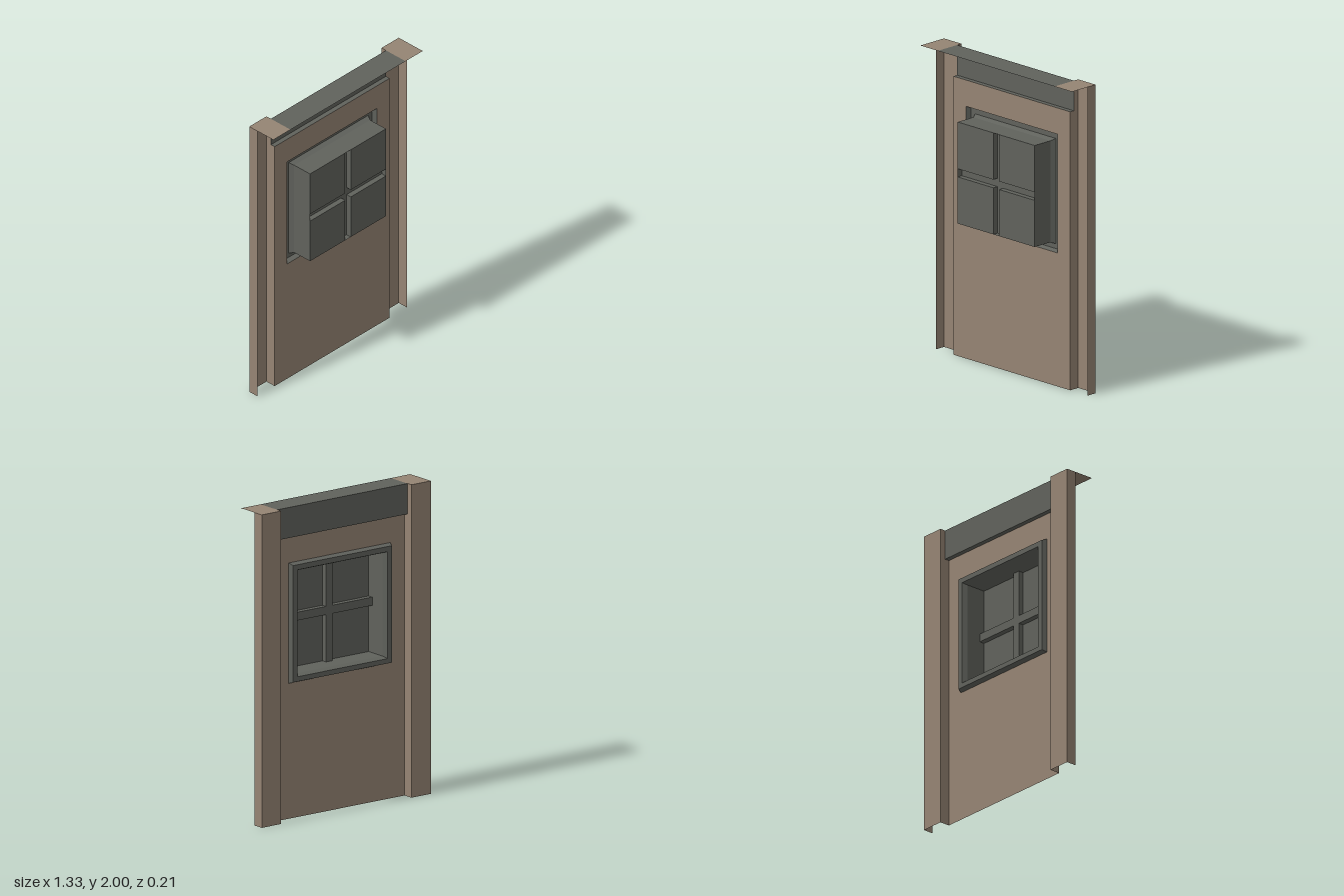
import * as THREE from 'three';

const mat = (name, color) => {
  const m = new THREE.MeshStandardMaterial({ color, side: THREE.DoubleSide });
  m.name = name;
  return m;
};

// Sheet surface made of four-cornered faces
function sheet(name, material, quads) {
  const pos = [];
  for (const [a, b, c, d] of quads) pos.push(...a, ...b, ...c, ...a, ...c, ...d);
  const g = new THREE.BufferGeometry();
  g.setAttribute('position', new THREE.Float32BufferAttribute(pos, 3));
  g.computeVertexNormals();
  const mesh = new THREE.Mesh(g, material);
  mesh.name = name;
  return mesh;
}

// Faces across each axis
const faceZ = (x0, x1, y0, y1, z) => [[x0, y0, z], [x1, y0, z], [x1, y1, z], [x0, y1, z]];
const faceX = (x, y0, y1, z0, z1) => [[x, y0, z1], [x, y0, z0], [x, y1, z0], [x, y1, z1]];
const faceY = (x0, x1, y, z0, z1) => [[x0, y, z1], [x1, y, z1], [x1, y, z0], [x0, y, z0]];

// Strip joining successive rectangles given as [halfWidth, bottom, top, z]
function rectLoft(sections) {
  const rings = sections.map(([w, b, t, z]) => faceZ(-w, w, b, t, z));
  const quads = [];
  for (let i = 0; i + 1 < rings.length; i++) {
    for (let k = 0; k < 4; k++) {
      const n = (k + 1) % 4;
      quads.push([rings[i][k], rings[i][n], rings[i + 1][n], rings[i + 1][k]]);
    }
  }
  return quads;
}

export function createModel() {
  const plaster = mat('brown plaster', 0x958473);
  const trim = mat('grey trim', 0x60625c);
  const model = new THREE.Group();
  model.name = 'windowWall';

  const W = 0.665, IN = 0.512;                      // outer and inner pillar edges
  const BACK = -0.103, WALL = -0.033, BEAM = -0.065, FRONT = 0.103;
  const BEAM_Y = 1.805;

  // Wall panel with window opening
  const shape = new THREE.Shape([
    new THREE.Vector2(-IN, 0), new THREE.Vector2(IN, 0),
    new THREE.Vector2(IN, BEAM_Y), new THREE.Vector2(-IN, BEAM_Y)]);
  shape.holes.push(new THREE.Path([
    new THREE.Vector2(-0.4, 0.865), new THREE.Vector2(-0.4, 1.635),
    new THREE.Vector2(0.4, 1.635), new THREE.Vector2(0.4, 0.865)]));
  const panel = new THREE.Mesh(new THREE.ShapeGeometry(shape), plaster);
  panel.name = 'wallPanel';
  panel.position.z = WALL;
  model.add(panel);

  // Pillars: channels open to the front, with caps reaching forward
  for (const s of [-1, 1]) {
    model.add(sheet(s > 0 ? 'leftPillar' : 'rightPillar', plaster, [
      faceZ(Math.min(s * IN, s * W), Math.max(s * IN, s * W), 0, 2, BACK),
      faceX(s * W, 0, 2, BACK, WALL),
      faceX(s * IN, 0, BEAM_Y, BACK, WALL),
      faceX(s * IN, BEAM_Y, 2, BACK, BEAM),
      faceY(Math.min(s * IN, s * W), Math.max(s * IN, s * W), 2, BACK, FRONT),
    ]));
  }

  // Beam above the panel, with its underside and flat top
  model.add(sheet('topBeam', trim, [
    faceZ(-IN, IN, BEAM_Y, 2, BEAM),
    faceY(-IN, IN, BEAM_Y, BEAM, WALL),
    faceY(-IN, IN, 2, BEAM, FRONT),
  ]));

  // Bevelled window frame raised on the back, and the box walls running forward
  model.add(sheet('windowFrame', trim, rectLoft([
    [0.4, 0.865, 1.635, WALL],
    [0.388, 0.876, 1.623, -0.065],
    [0.354, 0.907, 1.59, -0.065],
    [0.338, 0.92, 1.578, WALL],
    [0.338, 0.92, 1.578, FRONT],
  ])));

  // Four panes standing forward of a recessed cross of glazing bars
  const BAR = 0.067;
  const xs = [[-0.338, -0.025], [0.025, 0.338]];
  const ys = [[0.92, 1.222], [1.275, 1.578]];
  const panes = [];
  const bars = [faceZ(-0.025, 0.025, 0.92, 1.578, BAR)];
  xs.forEach(([x0, x1], i) => {
    bars.push(faceZ(x0, x1, 1.222, 1.275, BAR));
    ys.forEach(([y0, y1], j) => {
      panes.push(faceZ(x0, x1, y0, y1, FRONT));
      bars.push(faceX(i ? x0 : x1, y0, y1, BAR, FRONT));
      bars.push(faceY(x0, x1, j ? y0 : y1, BAR, FRONT));
    });
  });
  model.add(sheet('windowPanes', trim, panes), sheet('glazingBars', trim, bars));

  return model;
}
